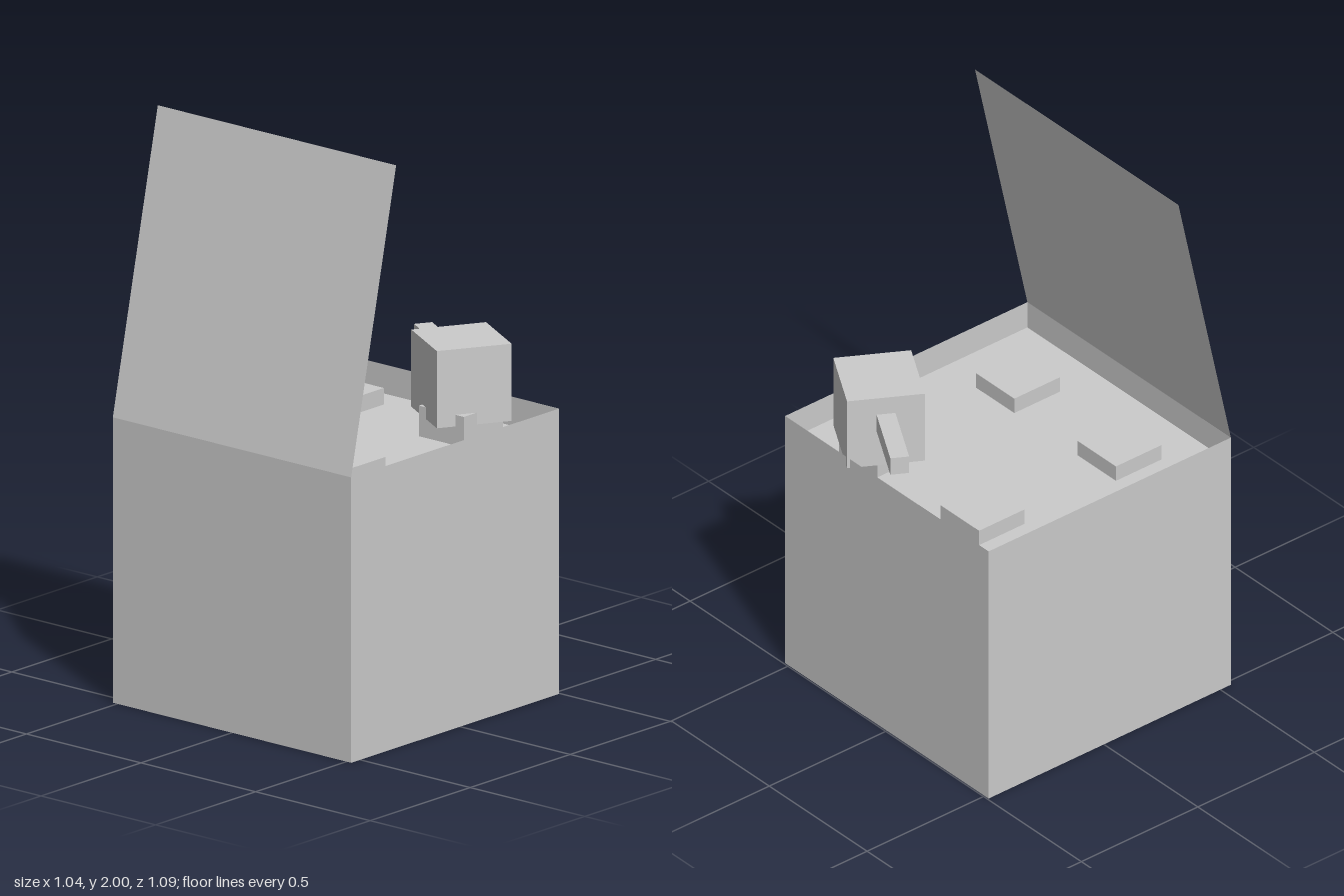
import * as THREE from 'three';

const SIZE = 1.04;      // footprint of the square body
const HEIGHT = 0.98;    // rim height
const FLOOR = 0.88;     // recessed cooktop height
const CENTER_Z = 0.025;

export function createModel() {
  const model = new THREE.Group();
  model.name = 'stove';
  const solid = new THREE.MeshStandardMaterial({ color: 0xcccccc, flatShading: true });
  const sheet = new THREE.MeshStandardMaterial({ color: 0xcccccc, flatShading: true, side: THREE.DoubleSide });

  function add(parent, name, geometry, material, x, y, z) {
    const mesh = new THREE.Mesh(geometry, material);
    mesh.name = name;
    mesh.position.set(x, y, z);
    parent.add(mesh);
    return mesh;
  }

  // Thin outer walls, rising above the cooktop as a rim
  const body = new THREE.Group();
  body.name = 'body';
  body.position.z = CENTER_Z;
  model.add(body);
  ['frontWall', 'leftWall', 'backWall', 'rightWall'].forEach((name, i) => {
    const angle = i * Math.PI / 2;
    const wall = add(body, name, new THREE.PlaneGeometry(SIZE, HEIGHT), sheet,
      Math.sin(angle) * SIZE / 2, HEIGHT / 2, Math.cos(angle) * SIZE / 2);
    wall.rotation.y = angle;
  });

  // Underside and recessed cooktop
  const square = new THREE.PlaneGeometry(SIZE, SIZE).rotateX(-Math.PI / 2);
  add(body, 'base', square, sheet, 0, 0, 0);
  add(body, 'cooktop', square, sheet, 0, FLOOR, 0);

  // Open lid, hinged on the front rim and leaning back
  const lidGeometry = new THREE.PlaneGeometry(SIZE, 1.045).translate(0, 1.045 / 2, 0);
  const lid = add(model, 'lid', lidGeometry, sheet, 0, HEIGHT, CENTER_Z + SIZE / 2);
  lid.rotation.x = -Math.asin(0.225 / 1.045);

  // Four burners; the one under the pot is taller
  for (const x of [-0.26, 0.26]) {
    for (const z of [-0.302, 0.286]) {
      const h = x > 0 && z < 0 ? 0.105 : 0.057;
      add(model, 'burner', new THREE.BoxGeometry(0.196, h, 0.196), solid, x, FLOOR + h / 2, z);
    }
  }

  // Square pot with a straight handle, turned on its burner
  const pot = new THREE.Group();
  pot.name = 'pot';
  pot.position.set(0.241, 0, -0.326);
  pot.rotation.y = -Math.PI / 6;
  model.add(pot);
  add(pot, 'potBody', new THREE.BoxGeometry(0.26, 0.265, 0.26), solid, 0, 1.0775, 0);
  add(pot, 'potHandle', new THREE.BoxGeometry(0.26, 0.065, 0.063), solid, -0.26, 1.113, 0);

  return model;
}
